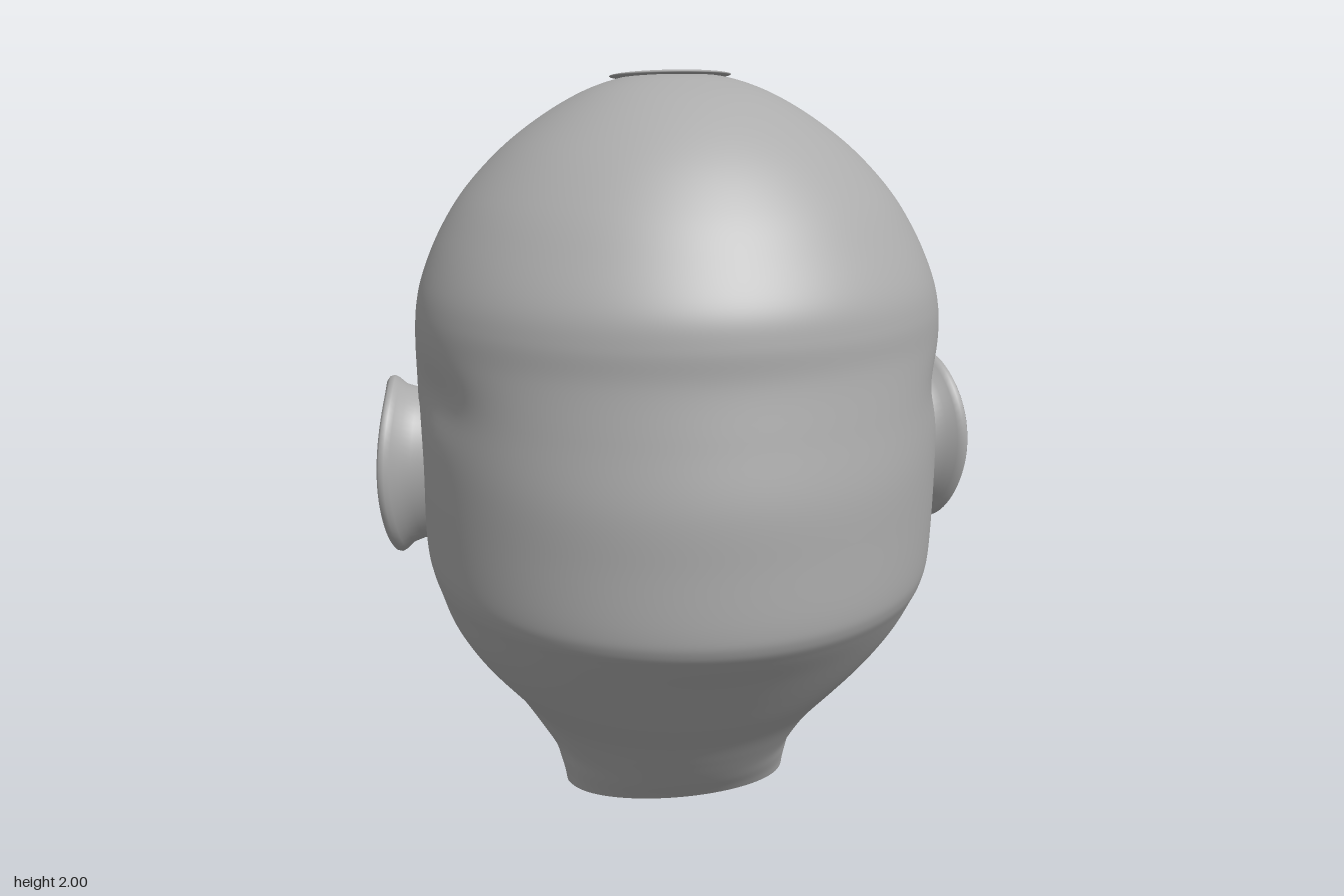
import * as THREE from 'three';

const skin = new THREE.MeshStandardMaterial({ color: 0xacacac, side: THREE.DoubleSide });
skin.name = 'grey skin';
const eyeColour = new THREE.MeshStandardMaterial({ color: 0x605b53, side: THREE.DoubleSide });
eyeColour.name = 'dark eye';

// Head sections: y, half width, front z, back z
const SECTIONS = [
  [0, .32, -.21, .26], [.03, .325, -.31, .285], [.07, .335, -.46, .32], [.12, .35, -.6, .36],
  [.18, .385, -.665, .405], [.26, .435, -.685, .465], [.36, .505, -.68, .55], [.46, .575, -.665, .63],
  [.56, .63, -.655, .71], [.65, .66, -.65, .785], [.7, .675, -.648, .82], [.76, .685, -.645, .832],
  [.9, .69, -.64, .832], [1.05, .69, -.628, .83], [1.2, .69, -.645, .805], [1.33, .69, -.663, .784],
  [1.42, .682, -.642, .782], [1.5, .66, -.608, .765], [1.6, .615, -.558, .708], [1.7, .55, -.497, .64],
  [1.8, .455, -.422, .55], [1.88, .35, -.34, .45], [1.94, .245, -.24, .345], [1.975, .15, -.11, .24],
  [1.988, .07, .0, .17], [1.99, 0, .1, .1],
];
// Nose: y, height above the face, half width
const NOSE = [
  [.66, 0, .14], [.70, .02, .14], [.725, .06, .14], [.775, .16, .138], [.82, .19, .132], [.87, .183, .115],
  [1.0, .143, .092], [1.1, .117, .1], [1.2, .073, .135], [1.3, .016, .16], [1.36, 0, .16],
];
const ZC = 0.1;
const clamp = THREE.MathUtils.clamp;
const bell = (v, mid, s) => Math.exp(-(((v - mid) / s) ** 2));

// Smooth section at position u (0 to 1) up the head
function section(u) {
  const n = SECTIONS.length - 1, s = clamp(u, 0, 1) * n, i = Math.min(Math.floor(s), n - 1), t = s - i;
  const at = k => SECTIONS[clamp(k, 0, n)];
  return at(i).map((p1, c) => {
    const p0 = at(i - 1)[c], p2 = at(i + 1)[c], p3 = at(i + 2)[c];
    return p1 + 0.5 * t * (p2 - p0 + t * (2 * p0 - 5 * p1 + 4 * p2 - p3 + t * (3 * (p1 - p2) + p3 - p0)));
  });
}

function noseAt(y) {
  if (y <= NOSE[0][0] || y >= NOSE[NOSE.length - 1][0]) return [0, .14];
  const i = NOSE.findIndex(k => k[0] > y), a = NOSE[i - 1], b = NOSE[i];
  const t = (y - a[0]) / (b[0] - a[0]);
  return [a[1] + t * (b[1] - a[1]), a[2] + t * (b[2] - a[2])];
}

const EYE = { x: .305, y: 1.102, w: .132, h: .07 };
const eyeHalfHeight = u => EYE.h * Math.pow(Math.max(0, 1 - u * u), .6);

// How far the face stands out from the plain section
function relief(x, y) {
  const ax = Math.abs(x);
  const [h, s] = noseAt(y);
  let d = h * Math.exp(-Math.pow(ax / s, 3 + 3 * clamp((y - 1) * 5, 0, 1)));
  d += .025 * bell(ax, .12, .03) * bell(y, .785, .035);                   // nostril wings
  const mouth = Math.exp(-Math.pow(ax / .235, 6)) * (1 + 9 * ax * ax);
  const part = .042 * (1 - .6 * Math.min(1, (ax / .24) ** 2));
  d += mouth * (.058 * bell(y, .542 + part, .036) + .07 * bell(y, .542 - part, .037)); // lips
  d -= .015 * bell(ax, .28, .04) * bell(y, .54, .06);                     // mouth corners
  d += .038 * bell(ax, .4, .1) * bell(y, 1.12, .22);                      // temples and cheekbones
  d += .02 * bell(ax, .3, .1) * bell(y, .92, .08);                        // cheeks
  d += .025 * bell(ax, .26, .15) * bell(y, 1.235, .045);                  // brows
  d -= .014 * bell(ax, .25, .1) * bell(y, 1.1, .08);                      // sockets
  const r = Math.hypot((ax - EYE.x) / EYE.w, (y - EYE.y) / EYE.h);
  d -= .016 * (1 - THREE.MathUtils.smoothstep(r, .98, 1.2));              // lid edge
  return d;
}

function headPoint(u, angle) {
  const [y, w, front, back] = section(u);
  const c = Math.cos(angle);
  let x = w * Math.sin(angle), z;
  if (c > 0) {
    z = ZC + (front - ZC) * Math.pow(c, .97);
    z -= relief(x, y) * clamp(c * 3, 0, 1);
  } else {
    z = ZC + (back - ZC) * Math.pow(-c, .96);
    x *= 1 - .03 * bell(y, 1.22, .08) * bell(z, .33, .17);                // hollow behind the ear
    x *= 1 - .07 * clamp(-c * 4, 0, 1) * bell(y, .2, .16);                // neck behind the jaw
  }
  return [x, y, z];
}

// Grid of points; closed grids wrap round their columns
function grid(rows, cols, closed, flip, point) {
  const pos = [], idx = [], across = closed ? cols : cols + 1;
  for (let r = 0; r <= rows; r++)
    for (let c = 0; c < across; c++) pos.push(...point(r / rows, c / cols));
  for (let r = 0; r < rows; r++)
    for (let c = 0; c < cols; c++) {
      const n = (c + 1) % across, a = r * across + c, b = r * across + n, d = a + across, e = b + across;
      if (flip) idx.push(a, b, d, b, e, d);
      else idx.push(a, d, b, b, d, e);
    }
  const g = new THREE.BufferGeometry();
  g.setAttribute('position', new THREE.Float32BufferAttribute(pos, 3));
  g.setIndex(idx);
  g.computeVertexNormals();
  return g;
}

// Front surface depth at x, y
function faceZ(x, y) {
  let lo = 0, hi = 1;
  for (let i = 0; i < 30; i++) {
    const mid = (lo + hi) / 2;
    if (section(mid)[0] < y) lo = mid; else hi = mid;
  }
  return headPoint(lo, Math.asin(clamp(x / section(lo)[1], -1, 1)))[2];
}

// Ear rings from root over the rim to the inside: size, x
const EAR = [
  [.86, .62], [.85, .68], [.86, .715], [.9, .745], [.97, .768], [1, .783], [.985, .795], [.94, .8],
  [.89, .793], [.85, .775], [.8, .764], [.74, .763],
];
for (let s = .68; s > -.01; s -= .04) EAR.push([Math.max(0, s), .766]);

function earGeometry(side) {
  return grid(EAR.length - 1, 64, true, side > 0, (r, c) => {
    const k = Math.round(r * (EAR.length - 1)), [s, x] = EAR[k], a = c * Math.PI * 2;
    const cy = Math.cos(a), cz = Math.sin(a), inner = clamp((.85 - s) * 6, 0, 1);
    const y = .965 + s * .246 * cy;
    const z = .025 + s * (.19 + .018 * cy) * cz + .008 * s * cy - inner * .012;
    let out = x - .035 * (s * cy) ** 2 + .008 * s * cz;
    const bowl = Math.hypot((z - .005) / .1, (y - .92) / .095);
    out -= inner * .06 * (1 - THREE.MathUtils.smoothstep(bowl, .6, 1.1));  // bowl
    out += inner * .014 * bell(bowl, 1.2, .2);                            // inner ridge
    out -= inner * .025 * bell(y, 1.1, .035) * bell(z, 0, .06);           // upper hollow
    return [side * out, y, z];
  });
}

export function createModel() {
  const model = new THREE.Group();
  model.name = 'head';
  const add = (geometry, material, name) => {
    const mesh = new THREE.Mesh(geometry, material);
    mesh.name = name;
    model.add(mesh);
    return mesh;
  };

  // Hollow head, open at the neck
  add(grid(190, 250, true, false, (r, c) => headPoint(r, c * Math.PI * 2)), skin, 'skull and face');

  // Low patch on the crown, raised at the back
  const crown = add(new THREE.SphereGeometry(1, 40, 16), skin, 'crown patch');
  crown.scale.set(.16, .01, .16);
  crown.position.set(0, 1.981, .01);
  crown.rotation.x = -.1;

  for (const side of [1, -1]) {
    const label = side > 0 ? 'left' : 'right';
    add(earGeometry(side), skin, label + ' ear');
    // Almond eye lying just over its socket
    add(grid(12, 28, false, side < 0, (r, c) => {
      const u = c * 2 - 1, x = side * (EYE.x + u * EYE.w);
      const y = EYE.y + (r * 2 - 1) * eyeHalfHeight(u);
      return [x, y, faceZ(x, y) - .006];
    }), eyeColour, label + ' eye');
  }
  return model;
}
